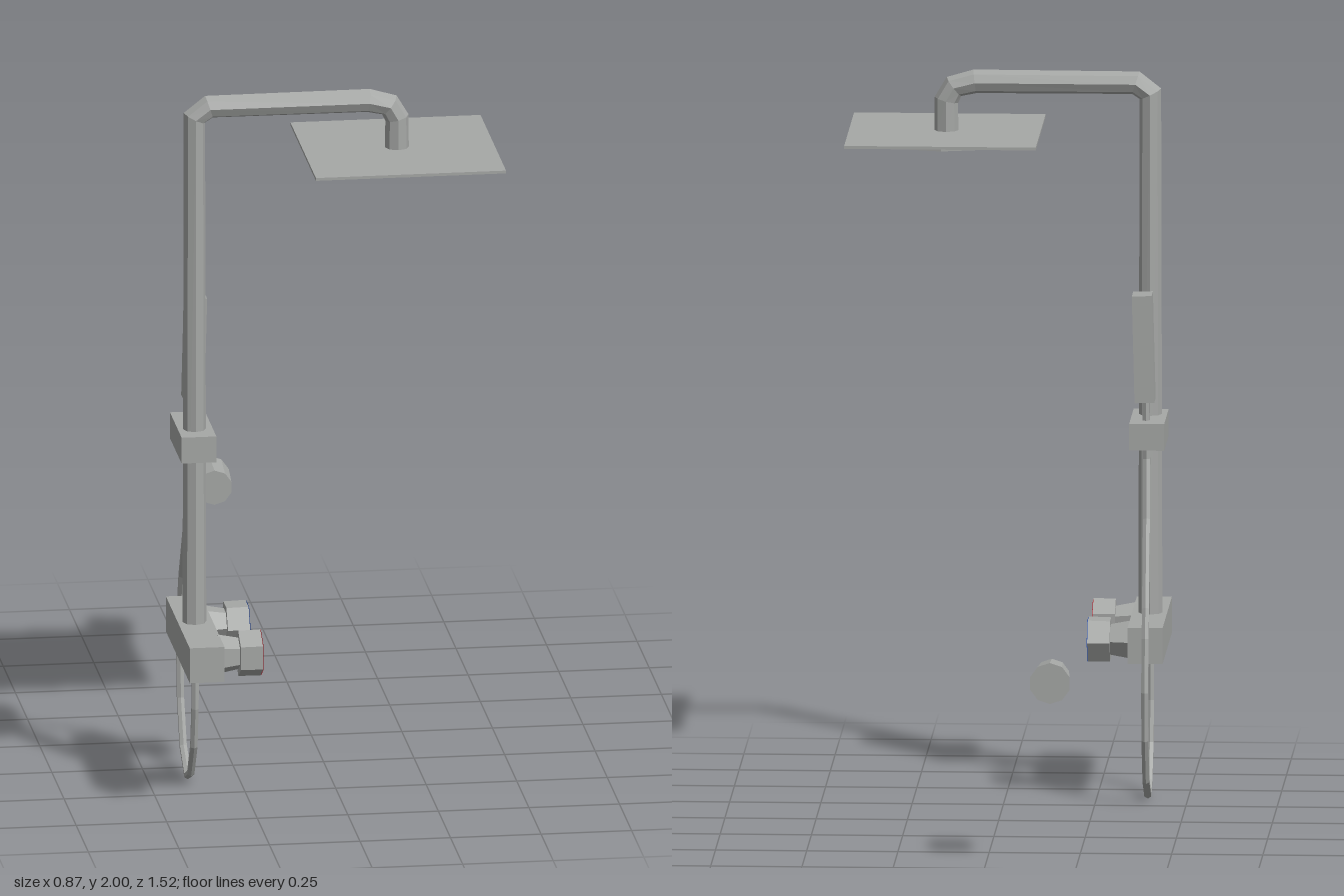
import * as THREE from 'three';

const mat = (name, color) => {
  const m = new THREE.MeshStandardMaterial({ color, flatShading: true, side: THREE.DoubleSide });
  m.name = name;
  return m;
};

// Straight-segment path with one tube ring per point and mitred tangents
class Polyline extends THREE.Curve {
  constructor(points) {
    super();
    this.points = points.map(p => new THREE.Vector3(...p));
  }
  getPoint(t, target = new THREE.Vector3()) {
    const n = this.points.length - 1;
    const i = Math.min(Math.floor(t * n + 1e-6), n - 1);
    return target.lerpVectors(this.points[i], this.points[i + 1], t * n - i);
  }
  getPointAt(t, target) { return this.getPoint(t, target); }
  getTangentAt(t, target = new THREE.Vector3()) {
    const p = this.points, n = p.length - 1, i = Math.round(t * n);
    const dir = (a, b) => new THREE.Vector3().subVectors(p[b], p[a]).normalize();
    target.set(0, 0, 0);
    if (i > 0) target.add(dir(i - 1, i));
    if (i < n) target.add(dir(i, i + 1));
    return target.normalize();
  }
}

export function createModel() {
  const group = new THREE.Group();
  const metal = mat('brushed metal', 0xa6a8a6);
  const red = mat('hot red', 0xd91e2a);
  const blue = mat('cold blue', 0x2858cc);

  const add = (name, geometry, material, x = 0, y = 0, z = 0, parent = group) => {
    const mesh = new THREE.Mesh(geometry, material);
    mesh.name = name;
    mesh.position.set(x, y, z);
    parent.add(mesh);
    return mesh;
  };
  const box = (name, w, h, d, x, y, z) => add(name, new THREE.BoxGeometry(w, h, d), metal, x, y, z);
  const tube = (name, points, radius, sides) =>
    add(name, new THREE.TubeGeometry(new Polyline(points), points.length - 1, radius, sides), metal);

  // Riser pipe and overhead arm
  tube('riserPipe', [
    [-0.39, 0.45, 0.5], [-0.39, 1.937, 0.5], [-0.35, 1.967, 0.5], [0.09, 1.967, 0.5],
    [0.148, 1.952, 0.5], [0.169, 1.915, 0.5], [0.169, 1.83, 0.5],
  ], 0.033, 8);

  // Overhead shower: square plate with a round spray face underneath
  box('showerPlate', 0.525, 0.008, 0.525, 0.173, 1.827, 0.498);
  add('sprayFace', new THREE.CylinderGeometry(0.22, 0.22, 0.01, 12), metal, 0.173, 1.815, 0.5);

  // Valve body and sliding bracket
  box('valveBody', 0.096, 0.1, 0.49, -0.388, 0.445, 0.502);
  box('slideBracket', 0.096, 0.074, 0.24, -0.388, 1.01, 0.46);

  // Hand shower, leaning slightly
  box('handShower', 0.054, 0.297, 0.077, -0.377, 1.25, 0.398).rotation.z = -0.025;

  // Hose looping from the hand shower back to the valve
  tube('hose', [
    [-0.383, 1.12, 0.4], [-0.385, 0.94, 0.4], [-0.387, 0.78, 0.353], [-0.39, 0.55, 0.247],
    [-0.39, 0.47, 0.22], [-0.39, 0.325, 0.198], [-0.39, 0.19, 0.213], [-0.39, 0.068, 0.27],
    [-0.39, 0.013, 0.363], [-0.39, 0.04, 0.425], [-0.39, 0.135, 0.488], [-0.39, 0.25, 0.512],
    [-0.39, 0.42, 0.516],
  ], 0.011, 6);

  // Hexagonal taps with a coloured ring on the end face
  const tap = (name, z, color, turn) => {
    const t = new THREE.Group();
    t.name = name;
    t.position.set(-0.341, 0.443, z);
    t.rotation.x = turn;
    group.add(t);
    const prism = (part, r0, r1, x0, x1) => {
      const g = new THREE.CylinderGeometry(r1, r0, x1 - x0, 6);
      g.rotateZ(-Math.PI / 2);
      add(part, g, metal, (x0 + x1) / 2, 0, 0, t);
    };
    prism('tapNeck', 0.056, 0.044, -0.005, 0.056);
    prism('tapHandle', 0.064, 0.066, 0.053, 0.114);
    const ring = new THREE.RingGeometry(0.033, 0.066, 6);
    ring.rotateY(Math.PI / 2);
    add('tapRing', ring, color, 0.1155, 0, 0, t);
  };
  tap('hotTap', 0.642, red, 0.5);
  tap('coldTap', 0.367, blue, 0);

  // Separate wall knob
  const knob = new THREE.CylinderGeometry(0.049, 0.057, 0.112, 10);
  knob.rotateX(Math.PI / 2);
  add('wallKnob', knob, metal, -0.18, 0.52, -0.706);

  return group;
}
